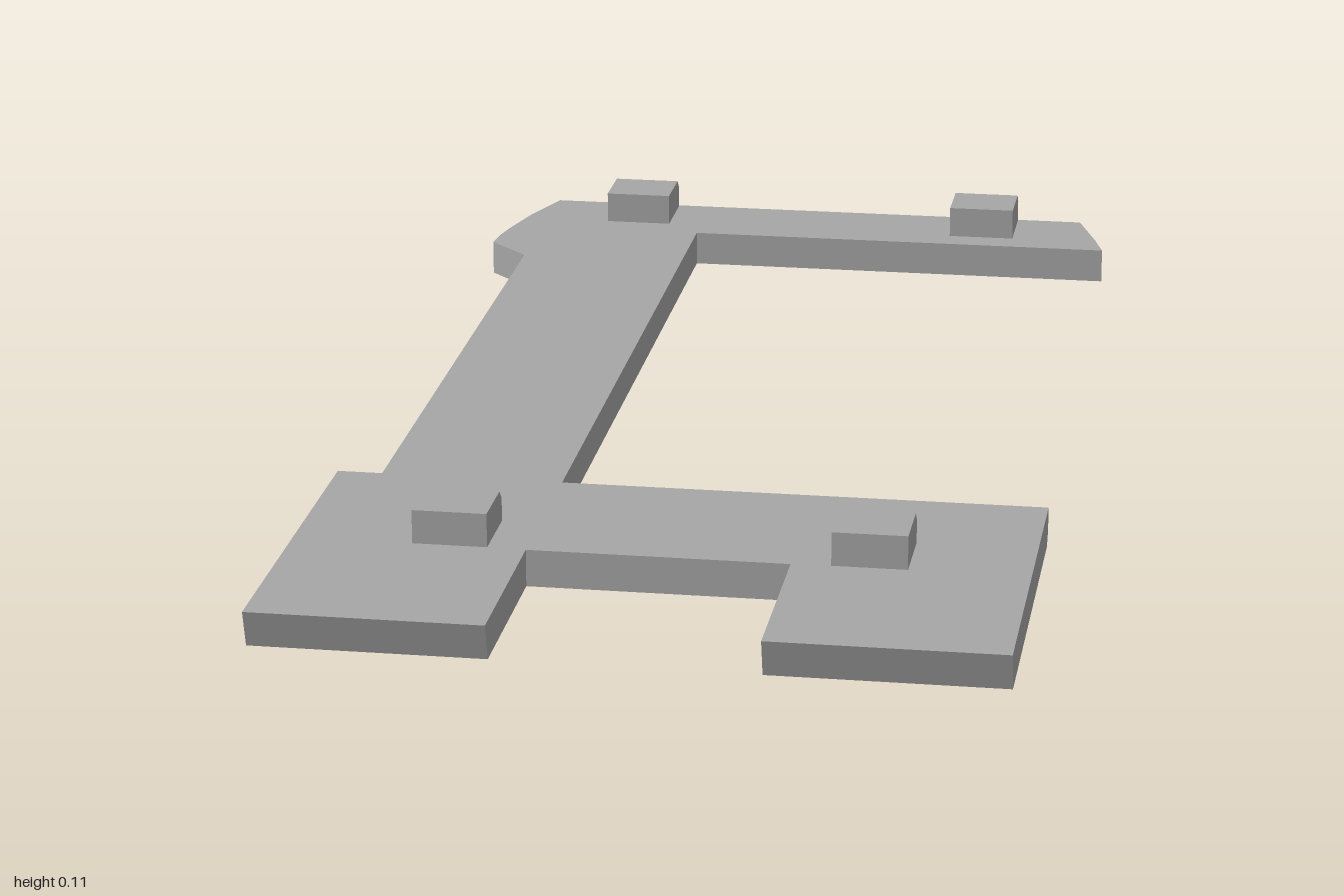
import * as THREE from 'three';

const THICK = 0.055;   // plate thickness
const CHAMFER_Y = 0.02; // top of the lower chamfer
const CUT = 0.015;     // depth of chamfers and slants

const grey = new THREE.MeshStandardMaterial({ color: 0xa6a6a6 });
grey.name = 'plain grey';

// Flat plate, drawn as an x/z outline, with undercut front and back edges
function makePlate() {
  const outline = [
    [-0.46, -1], [-0.495, -0.9], [-0.515, -0.82], [-0.523, -0.78], [-0.527, -0.735], [-0.46, -0.67],
    [-0.46, 0.43], [-0.527, 0.43], [-0.527, 1], [-0.19, 1], [-0.19, 0.71],
    [0.187, 0.71], [0.187, 1], [0.525, 1], [0.525, 0.43], [-0.19, 0.43],
    [-0.19, -0.84], [0.51, -0.84], [0.493, -0.9], [0.46, -1],
  ];
  const shape = new THREE.Shape(outline.map(([x, z]) => new THREE.Vector2(x, -z)));
  const geo = new THREE.ExtrudeGeometry(shape, { depth: THICK, steps: 2, bevelEnabled: false });
  geo.rotateX(-Math.PI / 2);
  const p = geo.attributes.position;
  const near = (a, b) => Math.abs(a - b) < 1e-4;
  for (let i = 0; i < p.count; i++) {
    let y = p.getY(i), z = p.getZ(i);
    if (near(y, THICK / 2)) y = CHAMFER_Y;
    if (near(z, 1)) z -= CUT * (1 - y / THICK);                        // slanted front edge
    else if (near(y, 0) && (near(z, -1) || near(z, 0.43))) z += CUT;   // chamfered back edges
    p.setY(i, y);
    p.setZ(i, z);
  }
  geo.computeVertexNormals();
  const mesh = new THREE.Mesh(geo, grey);
  mesh.name = 'basePlate';
  return mesh;
}

// Small block with a chamfered top back edge
function makePeg(name, x, zBack) {
  const w = 0.108, d = 0.108, h = 0.05;
  const side = new THREE.Shape([
    [0, 0], [d, 0], [d, h - CUT], [d - CUT, h], [0, h],
  ].map(([a, b]) => new THREE.Vector2(a, b)));
  const geo = new THREE.ExtrudeGeometry(side, { depth: w, bevelEnabled: false });
  geo.translate(0, 0, -w / 2);
  geo.rotateY(Math.PI / 2);
  const mesh = new THREE.Mesh(geo, grey);
  mesh.name = name;
  mesh.position.set(x, THICK, zBack + d);
  return mesh;
}

export function createModel() {
  const model = new THREE.Group();
  model.name = 'bracketPlate';
  model.add(makePlate());
  for (const [side, x] of [['right', -0.3], ['left', 0.298]]) {
    model.add(makePeg(side + 'FrontPeg', x, 0.6));
    model.add(makePeg(side + 'BackPeg', x, -0.995));
  }
  return model;
}
